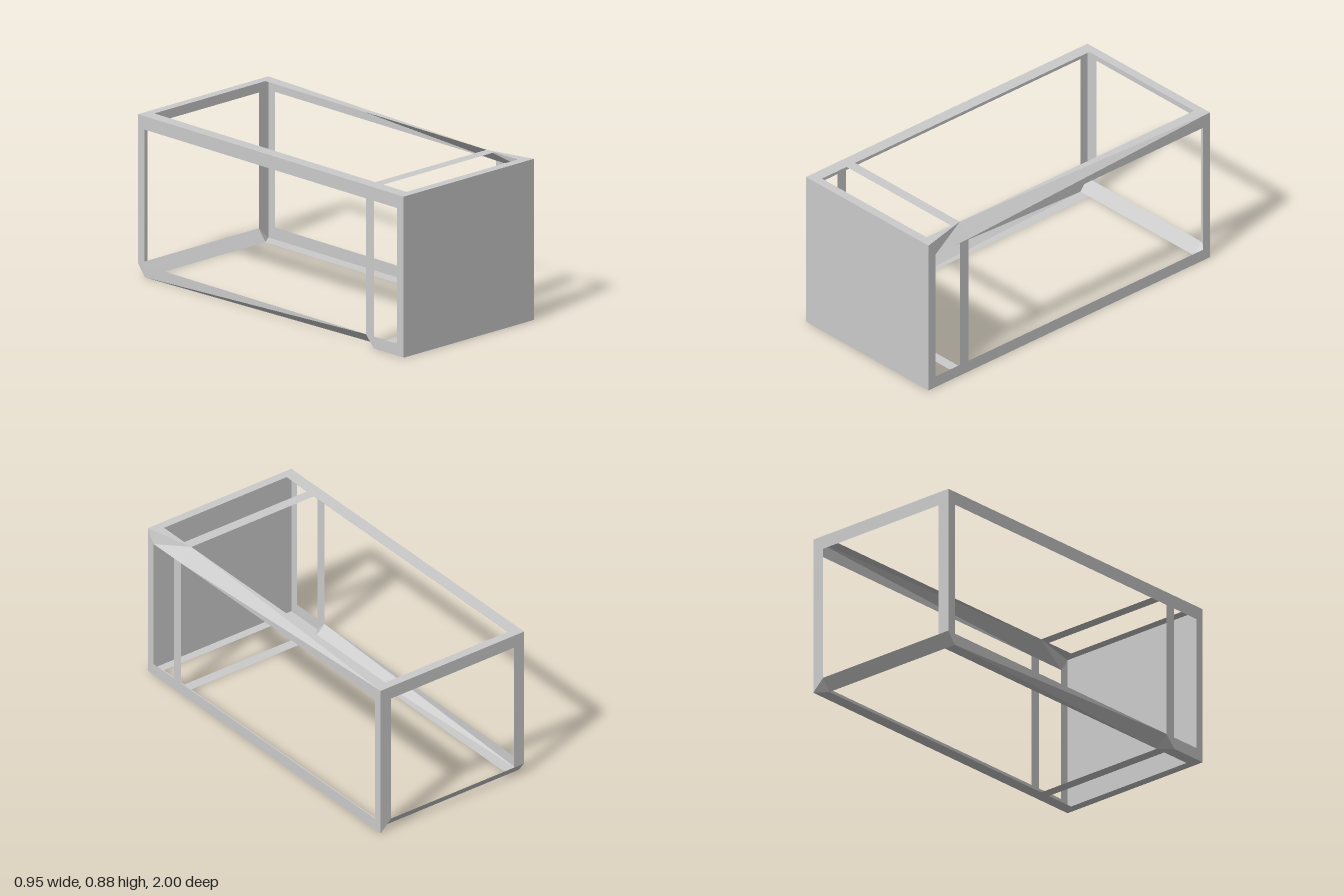
import * as THREE from 'three';

// Outer half width, inner half width, inner half depth, total height, rails
const a = 0.474, b = 0.405, e = 0.95, H = 0.884;
const lo = 0.065, hi = 0.81;   // inner edges of the bottom and top rails
const c = 0.715, d = 0.775;    // back and front of the intermediate frame

const material = new THREE.MeshStandardMaterial({
  color: 0xcccccc, flatShading: true, side: THREE.DoubleSide,
});

const rect = (u0, v0, u1, v1) => [[u0, v0], [u1, v0], [u1, v1], [u0, v1]];

// Planes onto which the flat strips are laid
const level = (y) => ([x, z]) => [x, y, z];
const side = (x) => ([z, y]) => [x, y, z];
const upright = (z) => ([x, y]) => [x, y, z];
const space = (p) => p;

// One sheet made of convex polygons, each fanned into triangles
function sheet(name, place, polygons) {
  const points = [];
  for (const polygon of polygons) {
    const p = polygon.map(place);
    for (let i = 1; i < p.length - 1; i++) points.push(...p[0], ...p[i], ...p[i + 1]);
  }
  const geometry = new THREE.BufferGeometry();
  geometry.setAttribute('position', new THREE.Float32BufferAttribute(points, 3));
  geometry.computeVertexNormals();
  const mesh = new THREE.Mesh(geometry, material);
  mesh.name = name;
  return mesh;
}

export function createModel() {
  const group = new THREE.Group();
  group.name = 'boxFrame';

  // Solid front
  group.add(sheet('frontPanel', upright(1), [rect(-a, 0, a, H)]));

  // Top rails with cross strip; the right rail pinches in at the cross strip
  group.add(sheet('topRails', level(H), [
    rect(-a, -1, -b, 1),
    [[-b, -1], [a, -1], [b, -e], [-b, -e]],
    [[-b, 1], [a, 1], [b, e], [-b, e]],
    rect(-b, c, b, d),
    [[a, -1], [b, -e], [b, c]],
    [[a, 1], [b, c], [b, e]],
  ]));

  // +x side: bottom rail, three posts, tapering upper rail
  group.add(sheet('rightSideRails', side(a), [
    rect(-1, 0, 1, lo),
    [[-1, lo], [-e, lo], [-e, hi], [-1, H]],
    [[1, lo], [e, lo], [e, hi], [1, H]],
    rect(c, lo, d, hi),
    [[c, hi], [-e, hi], [-1, H]],
  ]));

  // -x side: top rail, three posts, tapering lower rail
  group.add(sheet('leftSideRails', side(-a), [
    rect(-1, hi, 1, H),
    rect(-1, lo, -e, hi),
    rect(e, 0, 1, hi),
    rect(c, lo, d, hi),
    rect(d, 0, e, lo),
    [[c, lo], [d, lo], [d, 0]],
    [[-1, lo], [-e, lo], [-e, 0]],
    [[-e, 0], [-e, lo], [c, lo]],
  ]));

  // Bottom rails with cross strip
  group.add(sheet('bottomRails', level(0), [
    [[a, -1], [a, 1], [b, 1], [b, -e]],
    rect(-a, e, b, 1),
    rect(-b, c, b, d),
    rect(-a, d, -b, e),
    [[-b, c], [-b, d], [-a, d]],
    [[-a, -e], [-b, -e], [-b, c]],
  ]));

  // Back: top rail and two posts
  group.add(sheet('backRails', upright(-1), [
    rect(-a, hi, a, H),
    rect(-a, lo, -b, hi),
    rect(b, lo, a, hi),
    [[b, lo], [a, 0], [a, lo]],
  ]));

  // Sloping facets along the upper right edge
  const pinch = [b, H, c];
  group.add(sheet('upperRightFacets', space, [
    [pinch, [a, H, 1], [a, hi, e]],
    [pinch, [a, hi, e], [a, hi, c]],
    [pinch, [a, hi, c], [a, H, -1]],
  ]));

  // Sloping facets along the lower left edge
  group.add(sheet('lowerLeftFacets', space, [
    [[-b, 0, c], [-a, 0, d], [-a, lo, c]],
    [[-a, 0, -e], [-b, 0, c], [-a, lo, c]],
  ]));

  // Bevelled lower back rail
  group.add(sheet('lowerBackBevel', space, [
    [[-a, lo, -1], [b, lo, -1], [b, 0, -e], [-a, 0, -e]],
    [[b, lo, -1], [a, 0, -1], [b, 0, -e]],
  ]));

  return group;
}
